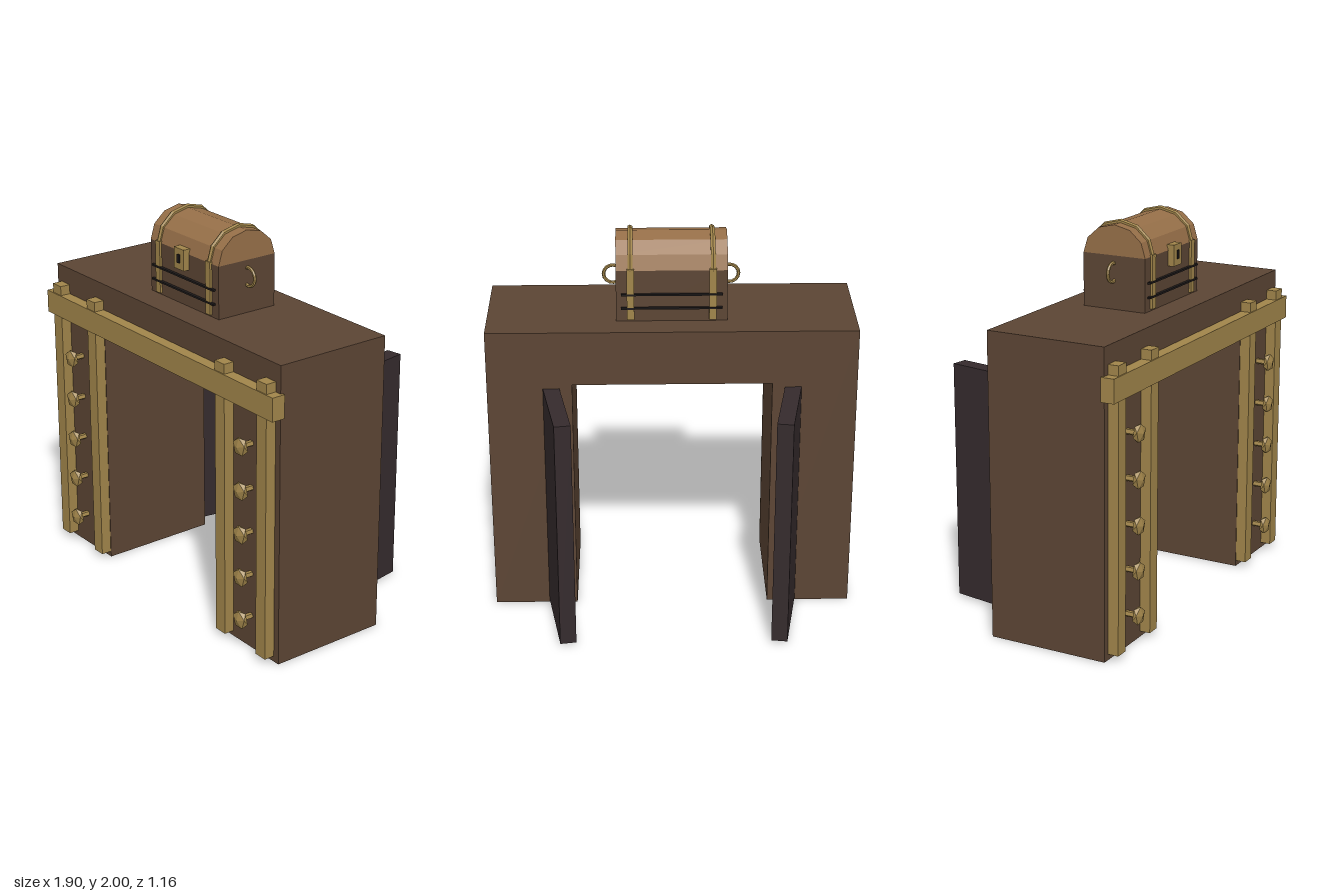
import * as THREE from 'three';

const mat = (name, color, extra = {}) => {
  const m = new THREE.MeshStandardMaterial({ color, flatShading: true, ...extra });
  m.name = name;
  return m;
};

export function createModel() {
  const wood = mat('dark wood', 0x5c4534);
  const gold = mat('old gold', 0xa1854a);
  const lidWood = mat('light wood', 0x966f48);
  const doorWood = mat('charcoal door', 0x352b2d);
  const black = mat('black iron', 0x1e1a1a);

  const model = new THREE.Group();
  model.name = 'gatewayWithChest';

  const add = (parent, name, geometry, material, x = 0, y = 0, z = 0) => {
    const mesh = new THREE.Mesh(geometry, material);
    mesh.name = name;
    mesh.position.set(x, y, z);
    parent.add(mesh);
    return mesh;
  };
  // Box given by its limits on each axis
  const box = (parent, name, material, [x0, x1], [y0, y1], [z0, z1]) =>
    add(parent, name, new THREE.BoxGeometry(x1 - x0, y1 - y0, z1 - z0), material,
      (x0 + x1) / 2, (y0 + y1) / 2, (z0 + z1) / 2);

  // Gateway: one thick slab with a doorway open at the bottom
  const arch = new THREE.Shape([
    [-0.935, 0], [-0.505, 0], [-0.505, 1.275], [0.505, 1.275],
    [0.505, 0], [0.935, 0], [0.935, 1.56], [-0.935, 1.56],
  ].map(([x, y]) => new THREE.Vector2(x, y)));
  add(model, 'gateway', new THREE.ExtrudeGeometry(arch, { depth: 0.635, bevelEnabled: false }), wood, 0, 0, -0.145);

  // Crossbeam on the front
  box(model, 'crossbeam', gold, [-0.95, 0.95], [1.3, 1.42], [0.478, 0.55]);

  // Faceted stud with one point facing forward
  const studGeo = new THREE.IcosahedronGeometry(0.052, 0);
  studGeo.rotateX(Math.atan2(1, (1 + Math.sqrt(5)) / 2));
  studGeo.rotateZ(Math.PI);
  studGeo.scale(1, 1, 0.46);
  const stemGeo = new THREE.CylinderGeometry(0.016, 0.016, 0.07, 5).rotateX(Math.PI / 2);

  for (const s of [1, -1]) {
    const side = s > 0 ? 'left' : 'right';

    // Upright posts
    for (const [label, x] of [['Inner', 0.545], ['Outer', 0.863]])
      add(model, side + label + 'Post', new THREE.BoxGeometry(0.073, 1.44, 0.058), gold, s * x, 0.75, 0.516);

    // Column of studs
    for (let i = 0; i < 5; i++) {
      const y = 0.178 + i * 0.231;
      add(model, side + 'Stud', studGeo, gold, s * 0.722, y, 0.558);
      add(model, side + 'StudStem', stemGeo, gold, s * 0.722, y, 0.52);
    }

    // Door standing open at the back
    const angle = 0.162, length = 0.48;
    const door = add(model, side + 'Door', new THREE.BoxGeometry(0.083, 1.24, length), doorWood,
      s * (0.541 + Math.sin(angle) * length / 2), 0.635, -0.573 + Math.cos(angle) * length / 2);
    door.rotation.y = s * angle;
  }

  // Chest on top of the gateway
  const chest = new THREE.Group();
  chest.name = 'chest';
  chest.position.set(0, 1.56, 0.174);
  model.add(chest);
  box(chest, 'chestBase', wood, [-0.28, 0.28], [0, 0.27], [-0.172, 0.172]);

  // Faceted rounded lid
  const lidShape = new THREE.Shape();
  for (let i = 0; i <= 6; i++) {
    const a = (i / 6) * Math.PI;
    const x = Math.cos(a) * 0.172, y = Math.sin(a) * 0.152;
    if (i) lidShape.lineTo(x, y); else lidShape.moveTo(x, y);
  }
  const lidGeo = new THREE.ExtrudeGeometry(lidShape, { depth: 0.56, bevelEnabled: false });
  lidGeo.translate(0, 0, -0.28).rotateY(Math.PI / 2);
  add(chest, 'chestLid', lidGeo, lidWood, 0, 0.27, 0);

  // Straps over the lid and down the front and back
  const strapGeo = new THREE.TorusGeometry(0.172, 0.014, 6, 6, Math.PI)
    .scale(1, 0.91, 1).rotateY(Math.PI / 2);
  for (const s of [1, -1]) {
    add(chest, 'lidStrap', strapGeo, gold, s * 0.207, 0.27, 0);
    for (const f of [1, -1])
      add(chest, 'sideStrap', new THREE.BoxGeometry(0.037, 0.27, 0.02), gold, s * 0.207, 0.145, f * 0.174);

    // Ring handle on each end
    const handle = add(chest, s > 0 ? 'leftHandle' : 'rightHandle',
      new THREE.TorusGeometry(0.047, 0.009, 6, 10, Math.PI * 1.3), gold, s * 0.296, 0.188, 0);
    handle.rotation.z = (s > 0 ? 0 : Math.PI) - Math.PI * 0.65;
  }

  // Thin iron bars on the front and back
  for (const y of [0.072, 0.145])
    for (const f of [1, -1])
      add(chest, 'ironBar', new THREE.BoxGeometry(0.51, 0.009, 0.02), black, 0, y, f * 0.178);

  // Lock plate and keyhole
  box(chest, 'lockPlate', gold, [-0.04, 0.04], [0.19, 0.298], [0.165, 0.204]);
  box(chest, 'keyhole', black, [-0.009, 0.009], [0.224, 0.268], [0.202, 0.21]);

  return model;
}
